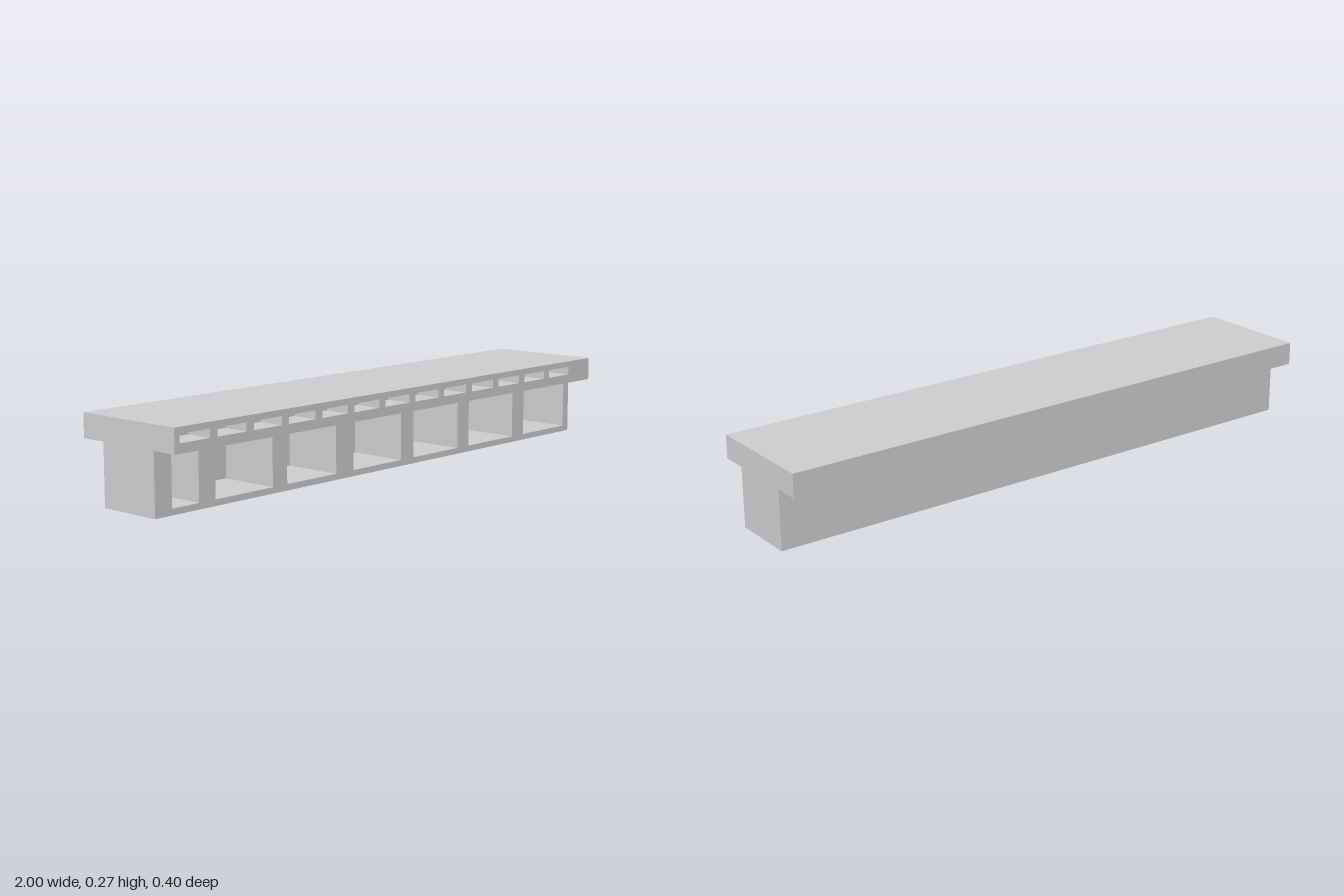
import * as THREE from 'three';

const material = new THREE.MeshStandardMaterial({ color: 0xcccccc, flatShading: true });

function rect(PathType, x0, x1, y0, y1) {
  const p = new PathType();
  p.moveTo(x0, y0);
  p.lineTo(x1, y0);
  p.lineTo(x1, y1);
  p.lineTo(x0, y1);
  p.closePath();
  return p;
}

// Block whose front face has rectangular recesses, closed by a solid back
function recessedBlock(name, y0, y1, zBack, zFront, depth, openings, oy0, oy1) {
  const group = new THREE.Group();
  group.name = name;

  const face = rect(THREE.Shape, -1, 1, y0, y1);
  for (const [x0, x1] of openings) face.holes.push(rect(THREE.Path, x0, x1, oy0, oy1));
  const front = new THREE.Mesh(
    new THREE.ExtrudeGeometry(face, { depth, bevelEnabled: false }), material);
  front.name = name + 'Front';
  front.position.z = zFront - depth;

  const thickness = zFront - depth - zBack;
  const back = new THREE.Mesh(new THREE.BoxGeometry(2, y1 - y0, thickness), material);
  back.name = name + 'Back';
  back.position.set(0, (y0 + y1) / 2, zBack + thickness / 2);

  group.add(front, back);
  return group;
}

export function createModel() {
  const model = new THREE.Group();
  model.name = 'wallSection';

  // Lower wall with large, unevenly spaced bays
  const bays = [
    [-0.935, -0.83], [-0.765, -0.527], [-0.465, -0.245], [-0.165, 0.067],
    [0.13, 0.36], [0.42, 0.665], [0.73, 0.97],
  ];
  model.add(recessedBlock('lowerWall', 0, 0.197, -0.11, 0.11, 0.205, bays, 0.02, 0.19));

  // Overhanging deck with a row of small slots
  const slots = [];
  for (let i = 0; i < 13; i++) {
    const x = -0.98 + i * 0.145;
    slots.push([x, x + 0.115]);
  }
  model.add(recessedBlock('deck', 0.197, 0.274, -0.198, 0.198, 0.09, slots, 0.227, 0.254));

  return model;
}
